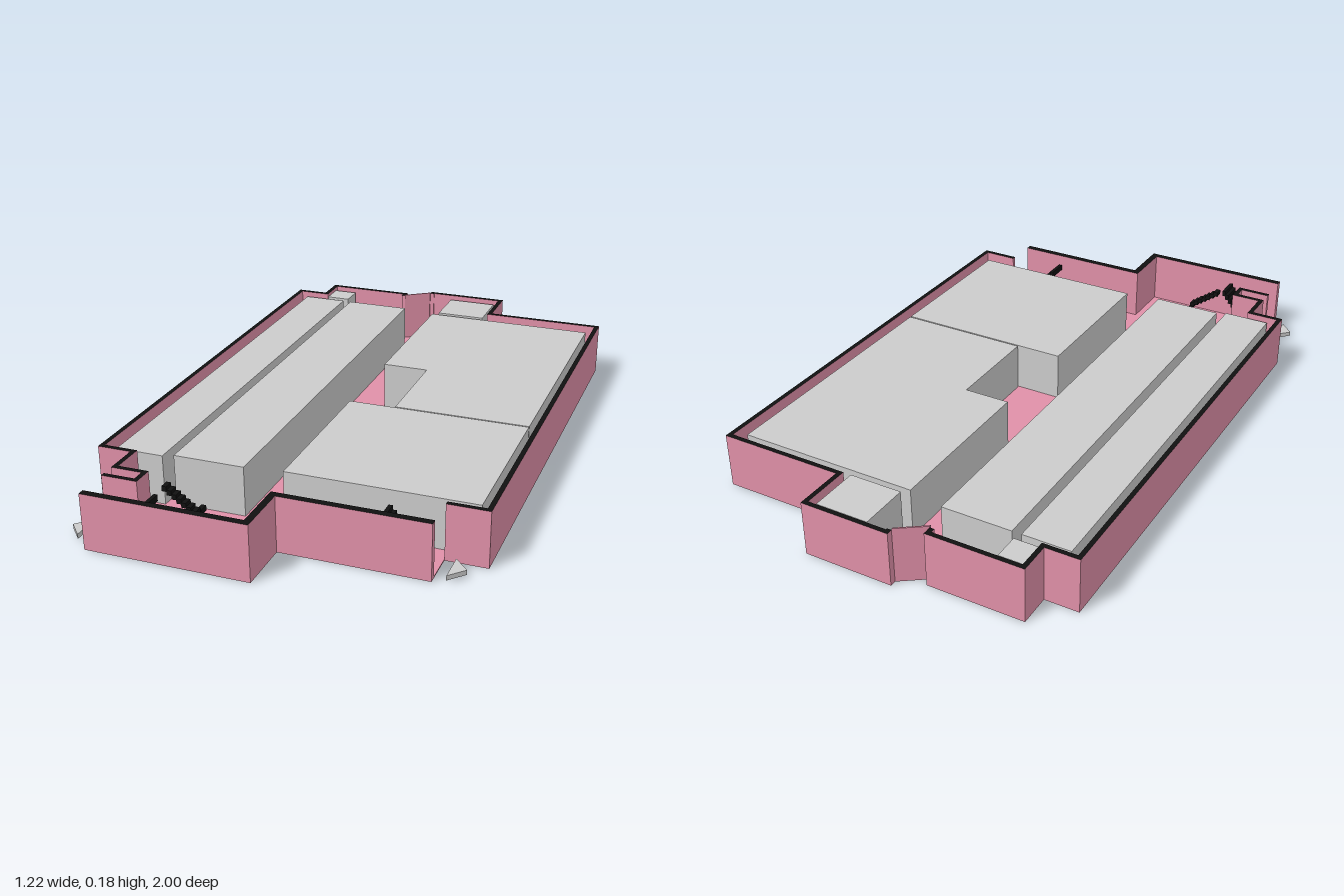
import * as THREE from 'three';

const mat = (color) => new THREE.MeshStandardMaterial({ color, flatShading: true });
const PINK = mat(0xe090a8), BLACK = mat(0x111111), GREY = mat(0xcccccc);
const WALL_TOP = 0.18, BLOCK_TOP = 0.167, FLOOR = 0.004;

// Upright prism from a plan outline of [x, z] points
function prism(name, points, y0, y1, material) {
  const shape = new THREE.Shape(points.map(([x, z]) => new THREE.Vector2(x, -z)));
  const geo = new THREE.ExtrudeGeometry(shape, { depth: y1 - y0, bevelEnabled: false });
  geo.rotateX(-Math.PI / 2).translate(0, y0, 0);
  const mesh = new THREE.Mesh(geo, material);
  mesh.name = name;
  return mesh;
}

const rect = (x0, z0, x1, z1) => [[x0, z0], [x1, z0], [x1, z1], [x0, z1]];

// Wall that follows an outer line and is thickened towards the inside
function wall(name, line, t) {
  const normals = line.slice(1).map(([x, z], i) => {
    const dx = x - line[i][0], dz = z - line[i][1], l = Math.hypot(dx, dz);
    return [-dz / l, dx / l];
  });
  const inner = line.map(([x, z], i) => {
    const a = normals[Math.max(i - 1, 0)], b = normals[Math.min(i, normals.length - 1)];
    const k = t / (1 + a[0] * b[0] + a[1] * b[1]);
    return [x + (a[0] + b[0]) * k, z + (a[1] + b[1]) * k];
  });
  return prism(name, [...line, ...inner.reverse()], FLOOR, WALL_TOP, [BLACK, PINK]);
}

// Flight of thin steps rising from xLow to xHigh
function stairs(name, xLow, xHigh, z0, z1, yLow, yHigh, count) {
  const group = new THREE.Group();
  group.name = name;
  const run = (xHigh - xLow) / count, rise = (yHigh - yLow) / count;
  for (let i = 0; i < count; i++) {
    const step = new THREE.Mesh(new THREE.BoxGeometry(Math.abs(run), rise * 1.5, z1 - z0), BLACK);
    step.position.set(xLow + run * (i + 0.5), yLow + rise * (i + 0.25), (z0 + z1) / 2);
    step.name = 'step';
    group.add(step);
  }
  return group;
}

export function createModel() {
  const model = new THREE.Group();
  model.name = 'floorPlan';

  // Outer lines of the walls, broken at the two entrances
  const leftLine = [
    [-0.5, 0.865], [-0.4, 0.865], [-0.4, 0.825], [-0.5, 0.825], [-0.5, 0.715], [-0.61, 0.715],
    [-0.61, -0.845], [-0.5, -0.845], [-0.5, -0.95], [-0.185, -0.95], [-0.185, -0.92],
  ];
  const rightLine = [
    [-0.1, -0.98], [-0.1, -1], [0.195, -1], [0.195, -0.835], [0.61, -0.835], [0.61, 0.705], [0.48, 0.705],
  ];
  const frontLine = [[0.48, 0.825], [0.02, 0.825], [0.02, 1], [-0.5, 1]];

  model.add(
    prism('floor', [...leftLine, ...rightLine, ...frontLine], 0, FLOOR, PINK),
    wall('sideWall', leftLine, 0.015),
    wall('sideWall', rightLine, 0.015),
    wall('frontWall', frontLine, 0.022),
    prism('slantedWall', [[-0.185, -0.92], [-0.1, -0.98], [-0.1, -0.974], [-0.185, -0.914]],
      FLOOR, 0.184, PINK),
  );

  // Grey room blocks
  const blocks = [
    rect(-0.565, -0.81, -0.41, 0.685),
    rect(-0.38, -0.81, -0.15, 0.67),
    rect(-0.485, -0.92, -0.4, -0.835),
    rect(-0.01, -0.97, 0.165, -0.805),
    rect(-0.03, 0.11, 0.57, 0.655),
    [[-0.03, -0.785], [0.57, -0.785], [0.57, 0.105], [0.125, 0.105], [0.125, -0.23], [-0.03, -0.23]],
  ];
  blocks.forEach((outline) => model.add(prism('roomBlock', outline, FLOOR, BLOCK_TOP, GREY)));

  // Entrance stairs and the two flights of the turning stair
  model.add(
    stairs('rightEntranceStairs', -0.44, -0.32, 0.88, 0.955, 0.015, 0.15, 10),
    stairs('leftEntranceStairs', 0.44, 0.315, 0.71, 0.785, 0.015, 0.15, 10),
    stairs('lowerFlight', -0.32, -0.215, 0.79, 0.82, 0.015, 0.09, 7),
    stairs('upperFlight', -0.215, -0.32, 0.825, 0.855, 0.09, 0.165, 7),
  );

  // Arrow markers outside the entrances
  [[-1, 0.54, 0.585, 0.92], [1, 0.52, 0.565, 0.772]].forEach(([s, base, tip, z]) =>
    model.add(prism('entranceArrow', [[s * base, z - 0.048], [s * tip, z], [s * base, z + 0.048]],
      0.01, 0.025, GREY)));

  return model;
}
